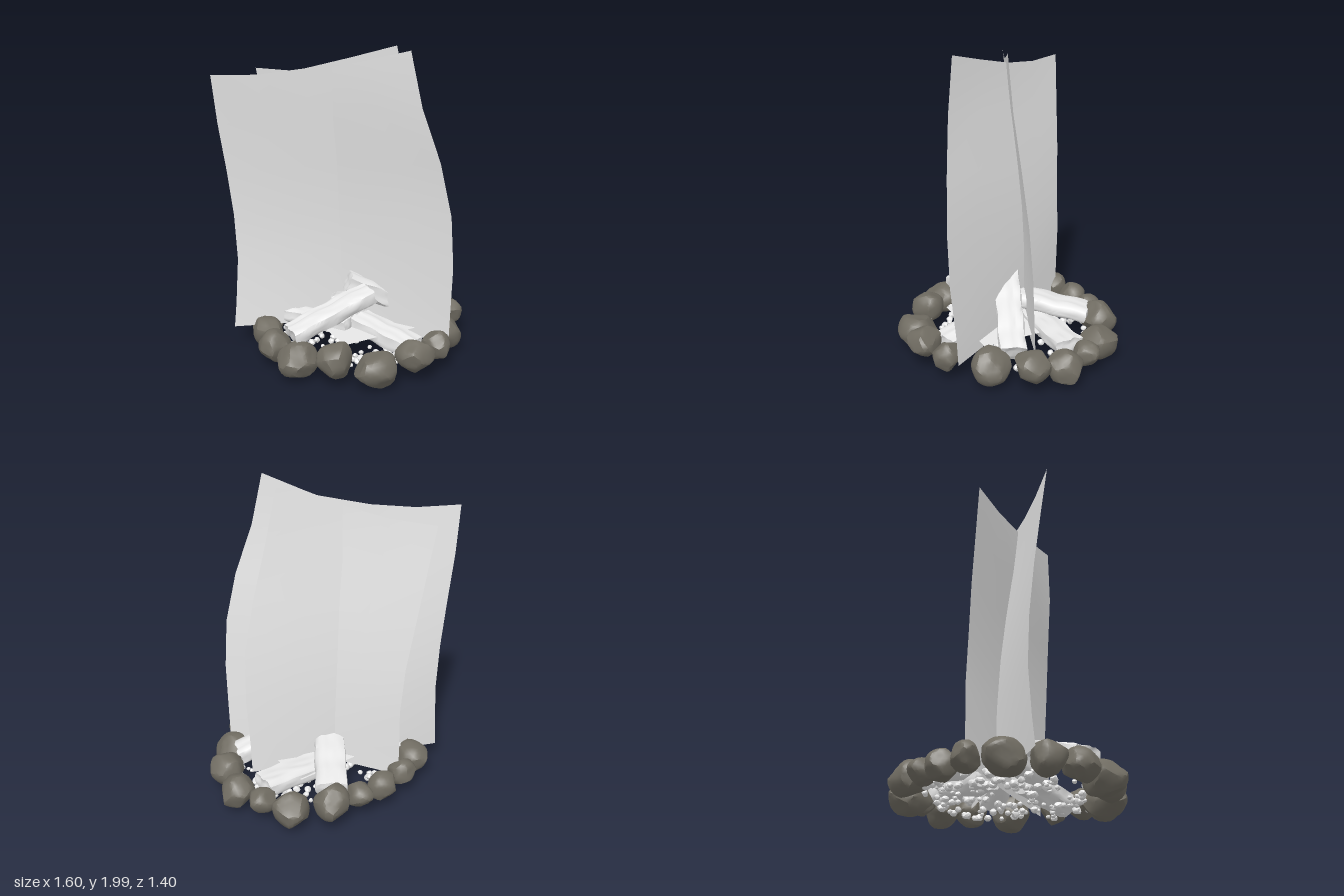
import * as THREE from 'three';
import { mergeVertices, toCreasedNormals } from 'three/addons/utils/BufferGeometryUtils.js';

const mat = (name, color, extra = {}) => {
  const m = new THREE.MeshStandardMaterial({ color, ...extra });
  m.name = name;
  return m;
};

// Small seeded generator
function seeded(seed) {
  let s = seed;
  return () => (s = (s * 16807) % 2147483647) / 2147483647;
}

// Smooth pseudo-noise, roughly -1..1
const noise = (p, seed) =>
  (Math.sin(p.x * 2.3 + seed * 1.7 + Math.sin(p.y * 2.9 + seed)) +
   Math.sin(p.y * 2.7 + seed * 2.3 + Math.sin(p.z * 2.1 - seed)) +
   Math.sin(p.z * 2.5 + seed * 0.9 + Math.sin(p.x * 3.1 + seed * 3))) / 3;

function deform(geo, rule) {
  const pos = geo.attributes.position, p = new THREE.Vector3();
  for (let i = 0; i < pos.count; i++) {
    p.fromBufferAttribute(pos, i);
    rule(p);
    pos.setXYZ(i, p.x, p.y, p.z);
  }
  return geo;
}

// Weathered rock with a few chipped flat sides and small lumps
function rockGeometry(seed, detail) {
  const rnd = seeded(seed * 7919 + 13);
  const cuts = Array.from({ length: 14 }, () => ({
    n: new THREE.Vector3(rnd() - 0.5, rnd() - 0.5, rnd() - 0.5).normalize(),
    d: 0.78 + rnd() * 0.14,
  }));
  const geo = deform(new THREE.IcosahedronGeometry(1, detail), (p) => {
    const lumps = noise(p.clone().multiplyScalar(3), seed + 5);
    p.multiplyScalar(1.05 + 0.13 * noise(p, seed));
    for (const { n, d } of cuts) {
      const over = p.dot(n) - d;
      if (over > 0) p.addScaledVector(n, -over * 0.85);
    }
    p.multiplyScalar(1 + 0.035 * lumps);
  });
  return toCreasedNormals(geo, 0.5);
}

// Split log along z: ragged bark on top, underside narrowing to a blunt ridge
function logGeometry(width, height, length, seed) {
  const geo = new THREE.BoxGeometry(width, height, length, 8, 5, 24);
  deform(geo, (p) => {
    const u = p.x / (width / 2), v = p.y / (height / 2);
    p.y -= height * u * u * (v > 0 ? 0.1 * v : 0.28 * v);
    p.x *= 1 - 0.06 * v * v;
    const q = new THREE.Vector3(p.x * 26, p.y * 26, p.z * 11);
    p.x += 0.009 * noise(q, seed);
    p.y += 0.009 * noise(q, seed + 4) + 0.003 * Math.sin(p.x * 95 + seed);
    p.z += 0.012 * noise(q, seed + 9);
  });
  geo.deleteAttribute('uv');
  return toCreasedNormals(mergeVertices(geo.deleteAttribute('normal')), 0.8);
}

// Curved sheet ruled between two side edges; rows rise to a sloping top
function flameGeometry(left, right) {
  const top = [1.83, 1.83, 1.865, 1.93, 2.0], cols = top.length, rows = left.length;
  const bottom = 0.14, positions = [], index = [];
  for (let r = 0; r < rows; r++) {
    for (let c = 0; c < cols; c++) {
      const u = c / (cols - 1);
      positions.push(
        THREE.MathUtils.lerp(left[r][0], right[r][0], u),
        Math.max(bottom, (top[c] * r) / (rows - 1)),
        THREE.MathUtils.lerp(left[r][1], right[r][1], u));
      if (r < rows - 1 && c < cols - 1) {
        const a = r * cols + c, b = a + cols;
        index.push(a, a + 1, b, a + 1, b + 1, b);
      }
    }
  }
  const geo = new THREE.BufferGeometry();
  geo.setAttribute('position', new THREE.Float32BufferAttribute(positions, 3));
  geo.setIndex(index);
  geo.computeVertexNormals();
  return geo;
}

export function createModel() {
  const model = new THREE.Group();
  model.name = 'campfire';
  const stoneMat = mat('stone', 0x716d63);
  const logMat = mat('pale wood', 0xffffff);
  const flameMat = mat('flame', 0xfafafa, { side: THREE.DoubleSide });

  const add = (parent, name, geo, material) => {
    const mesh = new THREE.Mesh(geo, material);
    mesh.name = name;
    parent.add(mesh);
    return mesh;
  };
  const group = (name) => {
    const g = new THREE.Group();
    g.name = name;
    model.add(g);
    return g;
  };

  // Ring of stones: x, y, z, radius
  const ring = group('stoneRing');
  const rnd = seeded(4211);
  [
    [-0.27, 0.165, -0.57, 0.085], [-0.08, 0.15, -0.595, 0.095], [0.10, 0.165, -0.60, 0.082],
    [0.30, 0.175, -0.57, 0.112], [0.50, 0.13, -0.43, 0.122], [0.62, 0.15, -0.27, 0.085],
    [0.68, 0.14, -0.08, 0.112], [0.63, 0.17, 0.12, 0.108], [0.46, 0.14, 0.32, 0.115],
    [0.27, 0.165, 0.53, 0.09], [0.06, 0.17, 0.595, 0.105], [-0.18, 0.125, 0.54, 0.128],
    [-0.39, 0.17, 0.38, 0.11], [-0.54, 0.12, 0.20, 0.12], [-0.60, 0.145, -0.03, 0.10],
    [-0.55, 0.16, -0.22, 0.10], [-0.45, 0.14, -0.46, 0.115],
  ].forEach(([x, y, z, r], i) => {
    const stone = add(ring, 'stone', rockGeometry(i + 1, 4), stoneMat);
    stone.scale.set(r * 1.04, Math.min(r, 0.11), r * 1.04);
    stone.position.set(x, y, z);
    stone.rotation.y = rnd() * 6.28;
  });

  // Leaning logs: outer end, inner end, width, thickness
  const logs = group('logs');
  [
    [[-0.53, 0.235, 0.085], [0.02, 0.425, 0.125], 0.19, 0.12],
    [[0.25, 0.20, -0.50], [-0.03, 0.30, -0.10], 0.20, 0.12],
    [[0.55, 0.18, -0.19], [0.02, 0.17, -0.20], 0.19, 0.11],
    [[0.49, 0.20, 0.18], [-0.05, 0.465, -0.05], 0.17, 0.14],
    [[0.12, 0.15, 0.48], [-0.01, 0.20, 0.04], 0.18, 0.14],
    [[-0.36, 0.18, -0.42], [-0.10, 0.21, 0.08], 0.15, 0.11],
  ].forEach(([a, b, w, h], i) => {
    const from = new THREE.Vector3(...a), to = new THREE.Vector3(...b);
    const log = add(logs, 'log', logGeometry(w, h, from.distanceTo(to), i * 2 + 1), logMat);
    log.position.copy(from).lerp(to, 0.5);
    log.lookAt(to);
  });

  // Scattered pebbles inside the ring
  const pebbles = group('pebbles');
  const pebbleGeos = [31, 32, 33].map((s) => rockGeometry(s, 1));
  for (let i = 0; i < 160; i++) {
    const angle = rnd() * Math.PI * 2, d = 0.08 + 0.46 * Math.sqrt(rnd());
    const r = 0.012 + 0.013 * rnd();
    const pebble = add(pebbles, 'pebble', pebbleGeos[i % 3], logMat);
    pebble.position.set(Math.cos(angle) * d + 0.02, 0.08 + 0.05 * rnd(), Math.sin(angle) * d);
    pebble.scale.set(r * 1.2, r, r);
    pebble.rotation.y = rnd() * 6.28;
  }

  // Flat glow sheet between the logs
  const glow = add(model, 'glowSheet', new THREE.PlaneGeometry(0.6, 0.6), mat('glow', 0xfafafa));
  glow.rotation.x = -Math.PI / 2;
  glow.position.set(0.04, 0.2, 0);

  // Two crossed flame sheets: x, z of each side edge from bottom to top
  const flames = group('flames');
  add(flames, 'wideFlame', flameGeometry(
    [[-0.70, -0.435], [-0.68, -0.44], [-0.655, -0.445], [-0.67, -0.445], [-0.71, -0.44], [-0.76, -0.43], [-0.80, -0.41]],
    [[0.50, 0.025], [0.50, 0.035], [0.51, 0.055], [0.49, 0.075], [0.41, 0.085], [0.31, 0.09], [0.23, 0.085]]), flameMat);
  add(flames, 'deepFlame', flameGeometry(
    [[-0.25, -0.56], [-0.25, -0.56], [-0.24, -0.56], [-0.265, -0.565], [-0.31, -0.585], [-0.36, -0.60], [-0.41, -0.615]],
    [[0.38, 0.50], [0.38, 0.51], [0.37, 0.54], [0.345, 0.54], [0.28, 0.505], [0.18, 0.445], [0.13, 0.39]]), flameMat);

  return model;
}
